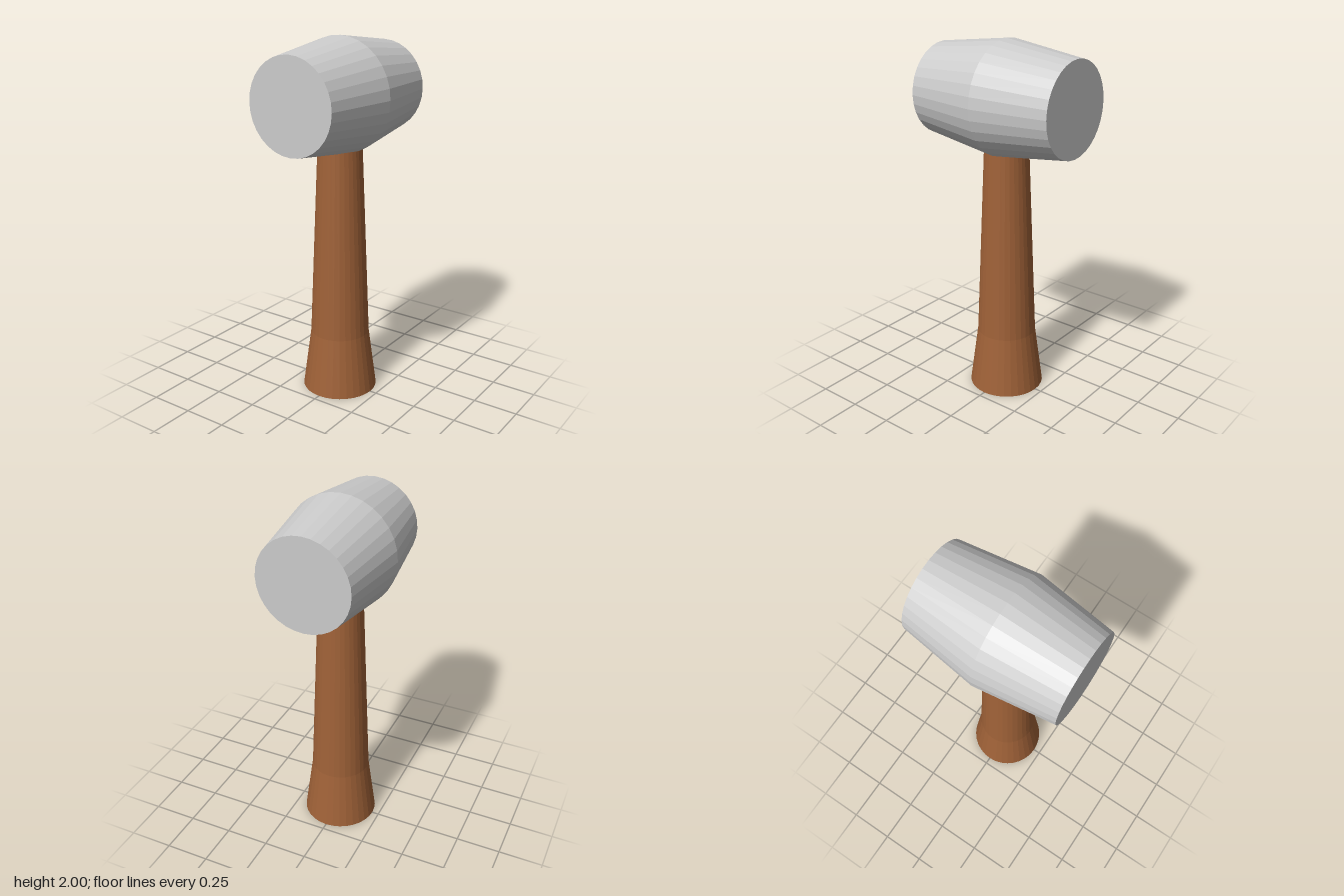
import * as THREE from 'three';

const SIDES = 32;

// Faceted turned solid from [radius, height] pairs, listed bottom to top
function turned(name, profile, color) {
  const points = profile.map(([r, y]) => new THREE.Vector2(r, y));
  const material = new THREE.MeshStandardMaterial({ color, flatShading: true });
  const mesh = new THREE.Mesh(new THREE.LatheGeometry(points, SIDES), material);
  mesh.name = name;
  return mesh;
}

export function createModel() {
  const group = new THREE.Group();
  group.name = 'mallet';

  // Tapered wooden handle with a flared grip, running up into the head
  const handle = turned('handle', [[0, 0], [0.21, 0], [0.165, 0.34], [0.118, 1.5], [0, 1.5]], 0xa06238);

  // Barrel-shaped head lying along z
  const head = turned('head', [[0, -0.432], [0.253, -0.432], [0.31, 0], [0.253, 0.432], [0, 0.432]], 0xcccccc);
  head.rotation.x = Math.PI / 2;
  head.position.y = 1.69;

  group.add(handle, head);
  return group;
}
